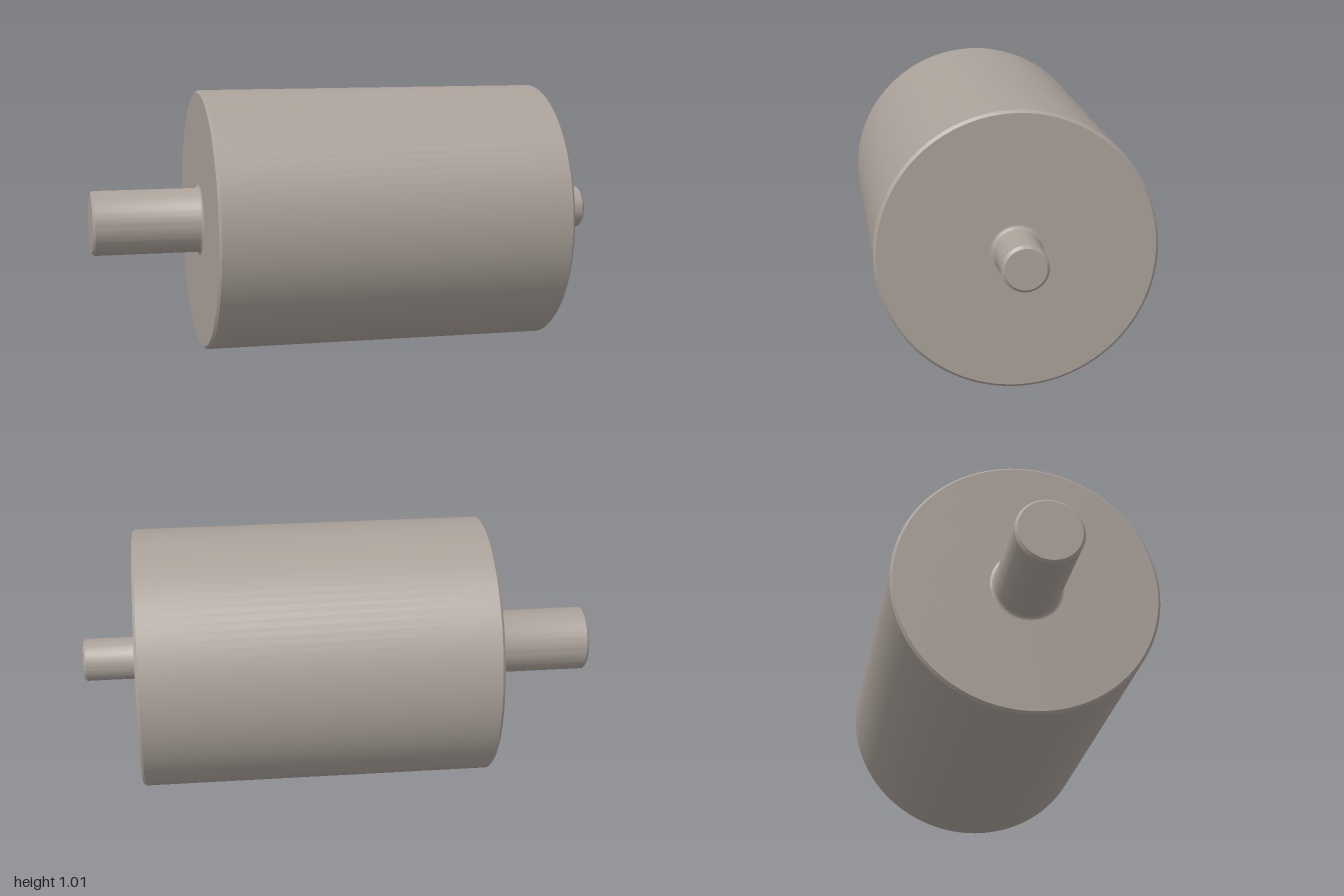
import * as THREE from 'three';
import { toCreasedNormals } from 'three/addons/utils/BufferGeometryUtils.js';

const AXIS_Y = 0.505;   // height of the roller axis
const BODY_R = 0.505;
const X0 = -0.58, X1 = 0.788; // end faces of the body
const CHAMFER = 0.01, FILLET = 0.015;
const SEGMENTS = 96;

const material = new THREE.MeshStandardMaterial({ color: 0xaaa199 });

// Revolve a profile of [radius, x] pairs, listed from -x to +x, about the x axis
function turned(name, profile) {
  const points = profile.map(([r, x]) => new THREE.Vector2(r, x));
  const lathe = new THREE.LatheGeometry(points, SEGMENTS).rotateZ(-Math.PI / 2);
  const mesh = new THREE.Mesh(toCreasedNormals(lathe, Math.PI / 6), material);
  mesh.name = name;
  return mesh;
}

// Shaft from a body face (base) to its tip, chamfered at the tip and filleted at the base
function shaft(name, radius, base, tip) {
  const dir = Math.sign(tip - base);
  const profile = [
    [0, tip],
    [radius - CHAMFER, tip],
    [radius, tip - dir * CHAMFER],
  ];
  const steps = 6;
  for (let i = 0; i <= steps; i++) {
    const t = (i / steps) * Math.PI / 2;
    profile.push([
      radius + FILLET * (1 - Math.cos(t)),
      base + dir * FILLET * (1 - Math.sin(t)),
    ]);
  }
  if (dir > 0) profile.reverse();
  return turned(name, profile);
}

export function createModel() {
  const model = new THREE.Group();
  model.name = 'roller';
  const thickR = 0.125, thinR = 0.083;

  // Main drum with chamfered rims; its end faces meet the shaft fillets
  model.add(turned('drum', [
    [thickR + FILLET, X0],
    [BODY_R - CHAMFER, X0],
    [BODY_R, X0 + CHAMFER],
    [BODY_R, X1 - CHAMFER],
    [BODY_R - CHAMFER, X1],
    [thinR + FILLET, X1],
  ]));

  // Thick and thin journals at the two ends
  model.add(shaft('thickShaft', thickR, X0, -1));
  model.add(shaft('thinShaft', thinR, X1, 1));

  model.children.forEach((part) => { part.position.y = AXIS_Y; });
  return model;
}
